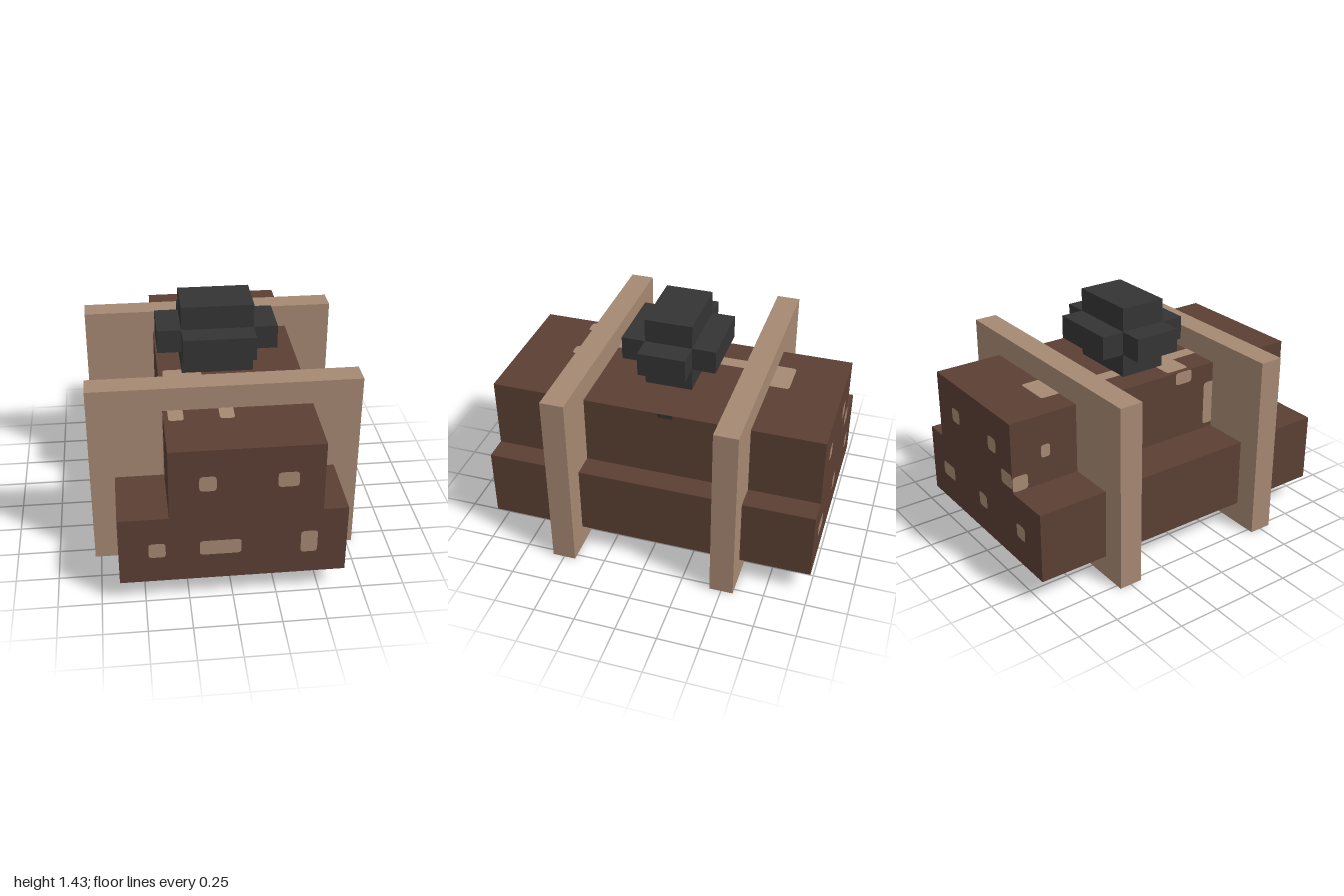
import * as THREE from 'three';

const bark = new THREE.MeshStandardMaterial({ color: 0x5b3f33 });
bark.name = 'dark brown';
const tan = new THREE.MeshStandardMaterial({ color: 0xa58872 });
tan.name = 'tan';
const charcoal = new THREE.MeshStandardMaterial({ color: 0x343434 });
charcoal.name = 'charcoal';

const U = 1 / 7; // basic block unit
const STEP = 4 * U; // height of the body's ledges
const LIFT = 0.002; // paint sits just above the surface

// Box from its min and max corners
function block(name, material, [x0, y0, z0], [x1, y1, z1]) {
  const mesh = new THREE.Mesh(new THREE.BoxGeometry(x1 - x0, y1 - y0, z1 - z0), material);
  mesh.position.set((x0 + x1) / 2, (y0 + y1) / 2, (z0 + z1) / 2);
  mesh.name = name;
  return mesh;
}

// Flat patch with softened corners, centred on the origin and facing +z
function patchGeometry(w, h) {
  const r = Math.min(0.022, w / 3, h / 3);
  const x = w / 2, y = h / 2;
  const s = new THREE.Shape();
  s.moveTo(-x + r, -y);
  s.lineTo(x - r, -y);
  s.quadraticCurveTo(x, -y, x, -y + r);
  s.lineTo(x, y - r);
  s.quadraticCurveTo(x, y, x - r, y);
  s.lineTo(-x + r, y);
  s.quadraticCurveTo(-x, y, -x, y - r);
  s.lineTo(-x, -y + r);
  s.quadraticCurveTo(-x, -y, -x + r, -y);
  return new THREE.ShapeGeometry(s, 3);
}

// Placement of a patch on each side of the body: (a, b) are the in-plane centre
const sides = {
  front: (m, a, b) => m.position.set(a, b, 1 + LIFT),
  back: (m, a, b) => { m.rotation.y = Math.PI; m.position.set(a, b, -1 - LIFT); },
  right: (m, a, b) => { m.rotation.y = -Math.PI / 2; m.position.set(-2.5 * U - LIFT, b, a); },
  left: (m, a, b) => { m.rotation.y = Math.PI / 2; m.position.set(3.5 * U + LIFT, b, a); },
  top: (m, a, b) => { m.rotation.x = -Math.PI / 2; m.position.set(a, 1 + LIFT, b); },
  bottom: (m, a, b) => { m.rotation.x = Math.PI / 2; m.position.set(a, U - LIFT, b); },
};

function patch(side, [a0, a1, b0, b1], material = tan) {
  const m = new THREE.Mesh(patchGeometry(a1 - a0, b1 - b0), material);
  sides[side](m, (a0 + a1) / 2, (b0 + b1) / 2);
  m.name = side + 'Spot';
  return m;
}

export function createModel() {
  const model = new THREE.Group();
  model.name = 'steppedBlock';

  // Long body with an off-centre step
  const profile = new THREE.Shape([
    [-4.5 * U, U], [4.5 * U, U], [4.5 * U, STEP], [3.5 * U, STEP],
    [3.5 * U, 1], [-2.5 * U, 1], [-2.5 * U, STEP], [-4.5 * U, STEP],
  ].map(([x, y]) => new THREE.Vector2(x, y)));
  const bodyGeometry = new THREE.ExtrudeGeometry(profile, { depth: 2, bevelEnabled: false });
  bodyGeometry.translate(0, 0, -1);
  const body = new THREE.Mesh(bodyGeometry, bark);
  body.name = 'body';
  model.add(body);

  // Two upright slabs around the body
  for (const [name, z] of [['frontSlab', 0.5], ['backSlab', -0.5]]) {
    model.add(block(name, tan, [-5.5 * U, 0, z - U / 2], [5.5 * U, 8 * U, z + U / 2]));
  }

  // Knob on top: a core with arms in both directions
  const knob = new THREE.Group();
  knob.name = 'knob';
  knob.add(
    block('knobCore', charcoal, [-1.5 * U, 1, -U], [1.5 * U, 10 * U, U]),
    block('knobSideArms', charcoal, [-2.5 * U, 8 * U, -U], [2.5 * U, 9 * U, U]),
    block('knobFrontBackArms', charcoal, [-1.5 * U, 8 * U, -2 * U], [1.5 * U, 9 * U, 2 * U]),
  );
  model.add(knob);

  // Painted spots: [a0, a1, b0, b1] in the plane of each side
  const spots = {
    front: [
      [-0.19, -0.095, 0.74, 0.835], [0.24, 0.357, 0.74, 0.835], [-0.476, -0.38, 0.31, 0.405],
      [-0.19, 0.045, 0.31, 0.405], [0.38, 0.475, 0.285, 0.43],
    ],
    back: [
      [0.357, 0.5, 0.31, 0.4], [-0.045, 0.045, 0.31, 0.4], [-0.475, -0.385, 0.31, 0.4],
      [0.24, 0.33, 0.745, 0.835], [-0.19, -0.1, 0.745, 0.835], [-0.357, -0.24, 0.595, 0.685],
    ],
    right: [
      [-0.81, -0.75, 0.735, 0.815], [-1, -0.9, 0.575, 0.67],
      [0.14, 0.26, 0.92, 1], [0.36, 0.66, 0.6, 0.88],
    ],
    top: [
      [-0.185, 0.042, -0.69, -0.5], [-0.185, -0.1, -0.5, 0.5], [-0.33, -0.14, 0.1, 0.255],
      [-0.33, -0.243, 0.5, 0.685], [-0.042, 0.042, 0.5, 0.685],
    ],
    bottom: [[-0.08, 0.02, 0.36, 0.47], [-0.19, -0.13, -0.095, -0.035]],
  };
  const paint = new THREE.Group();
  paint.name = 'spots';
  for (const [side, list] of Object.entries(spots)) {
    for (const rect of list) paint.add(patch(side, rect));
  }
  // Small dark mark below the knob
  paint.add(patch('left', [-0.115, -0.02, 0.975, 1], charcoal));
  model.add(paint);

  return model;
}
